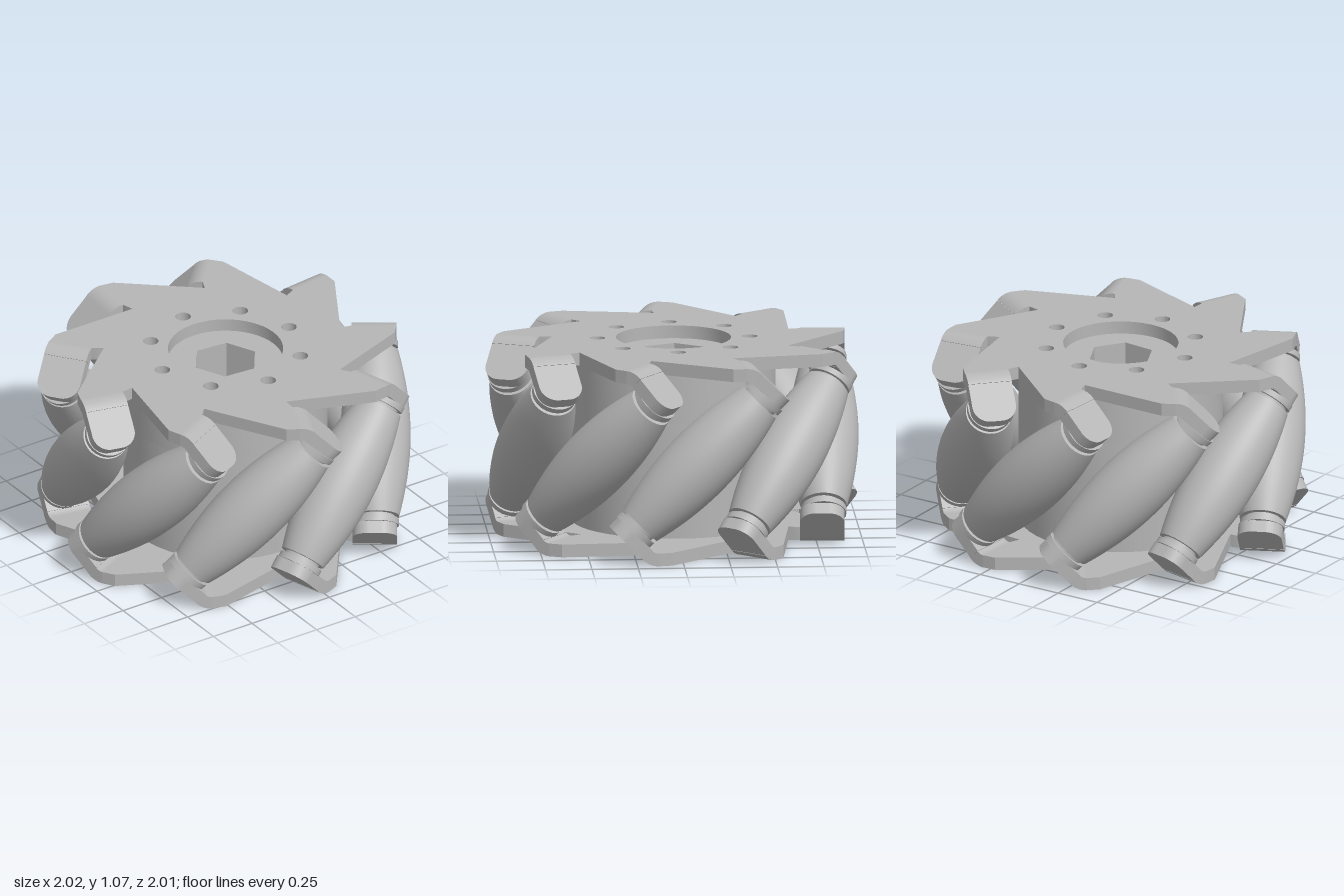
import * as THREE from 'three';
import { toCreasedNormals } from 'three/addons/utils/BufferGeometryUtils.js';

const COUNT = 9, STEP = (Math.PI * 2) / COUNT, START = THREE.MathUtils.degToRad(16.5);
const H = 1.065, MID = H / 2, THICK = 0.07, AXIS_R = 0.807;

const gray = new THREE.MeshStandardMaterial({ color: 0xb6b6b6 });
gray.name = 'machined gray';

function mesh(name, geometry) {
  const m = new THREE.Mesh(toCreasedNormals(geometry, 0.5), gray);
  m.name = name;
  return m;
}

// Extrude a shape; 'upright' turns the depth towards +y
function extrude(shape, depth, upright = true) {
  const g = new THREE.ExtrudeGeometry(shape, { depth, bevelEnabled: false, curveSegments: 24 });
  return upright ? g.rotateX(-Math.PI / 2) : g;
}

function circle(x, y, r) {
  return new THREE.Path().absarc(x, y, r, 0, Math.PI * 2, true);
}

function boltHoles() {
  return Array.from({ length: 8 }, (_, i) => {
    const a = (i * Math.PI) / 4;
    return circle(0.41 * Math.cos(a), 0.41 * Math.sin(a), 0.042);
  });
}

// Pinwheel side plate; side = 1 for the top, -1 for the bottom
function sidePlate(side) {
  // One arm as [radial, tangential] offsets from its roller's direction
  const arm = [[0.911, 0.166], [0.92, 0.24], [0.68, 0.24], [0.618, 0.218]];
  const pts = [];
  for (let i = 0; i < COUNT; i++) {
    const a = START + side * i * STEP, s = Math.sin(a), c = Math.cos(a);
    for (const [n, t] of arm) {
      pts.push(new THREE.Vector2(s * n + c * t * side, -(c * n - s * t * side)));
    }
  }
  const shape = new THREE.Shape(pts);
  shape.holes.push(circle(0, 0, 0.31), ...boltHoles());
  return extrude(shape, THICK);
}

// One layer of the hub with its own centre bore
function hubLayer(name, y0, y1, bore) {
  const shape = new THREE.Shape().absarc(0, 0, 0.55, 0, Math.PI * 2, false);
  shape.holes.push(bore, ...boltHoles());
  const m = mesh(name, extrude(shape, y1 - y0));
  m.position.y = y0;
  return m;
}

// Barrel profile that keeps the wheel's outline round
function rollerGeometry() {
  const half = 0.46, pts = [new THREE.Vector2(0, -half)];
  for (let i = 0; i <= 20; i++) {
    const t = -half + (2 * half * i) / 20;
    pts.push(new THREE.Vector2(0.995 - Math.sqrt(AXIS_R ** 2 + (t * t) / 2), t));
  }
  pts.push(new THREE.Vector2(0, half));
  return new THREE.LatheGeometry(pts, 40);
}

// Tab with two rounded outer corners
function tabGeometry() {
  const x0 = -0.121, x1 = 0.105, w = 0.12, r = 0.09;
  const s = new THREE.Shape();
  s.moveTo(x0, -w);
  s.lineTo(x1 - r, -w);
  s.absarc(x1 - r, -w + r, r, -Math.PI / 2, 0, false);
  s.absarc(x1 - r, w - r, r, 0, Math.PI / 2, false);
  s.lineTo(x0, w);
  return extrude(s, THICK).translate(0, 0.51, -0.007);
}

// Curved bend joining the flat arm to its tab
function bendGeometry() {
  const s = new THREE.Shape();
  s.absarc(0, 0, 0.12, Math.PI / 4, Math.PI / 2, false);
  s.absarc(0, 0, 0.12 - THICK, Math.PI / 2, Math.PI / 4, true);
  return extrude(s, 0.24, false).translate(0.24, MID - 0.12, -0.127);
}

export function createModel() {
  const model = new THREE.Group();
  model.name = 'rollerWheel';

  // Side plates
  const top = mesh('topPlate', sidePlate(1));
  top.position.y = H - THICK;
  model.add(top, mesh('bottomPlate', sidePlate(-1)));

  // Hub: round pocket below, thin shaft hole, hexagonal pocket above
  const hex = new THREE.Path(Array.from({ length: 6 }, (_, i) => {
    const a = (-i * Math.PI) / 3 - 0.09;
    return new THREE.Vector2(0.18 * Math.cos(a), 0.18 * Math.sin(a));
  }));
  hex.closePath();
  model.add(
    hubLayer('hubBottom', THICK, 0.45, circle(0, 0, 0.15)),
    hubLayer('hubMiddle', 0.45, 0.7, circle(0, 0, 0.06)),
    hubLayer('hubTop', 0.7, H - THICK, hex),
  );

  // Slanted rollers with a bent tab at each end
  const barrel = rollerGeometry(), tab = tabGeometry(), bend = bendGeometry();
  const neck = new THREE.CylinderGeometry(0.1, 0.1, 0.03, 32).translate(0, 0.47, 0);
  const washer = new THREE.CylinderGeometry(0.122, 0.122, 0.035, 32).translate(0, 0.4955, 0);
  for (let i = 0; i < COUNT; i++) {
    const station = new THREE.Group();
    station.name = 'rollerStation';
    station.rotation.y = START + i * STEP;

    const roller = mesh('roller', barrel);
    roller.position.set(0, MID, AXIS_R);
    roller.rotation.z = -Math.PI / 4;
    station.add(roller);

    for (const turn of [0, Math.PI]) {
      const end = new THREE.Group();
      end.name = turn ? 'lowerBracket' : 'upperBracket';
      end.position.set(0, MID, AXIS_R);
      end.rotation.z = turn;
      const tilted = new THREE.Group();
      tilted.name = 'tabAndWasher';
      tilted.rotation.z = -Math.PI / 4;
      tilted.add(mesh('tab', tab), mesh('neck', neck), mesh('washer', washer));
      end.add(mesh('bend', bend), tilted);
      station.add(end);
    }
    model.add(station);
  }
  return model;
}
